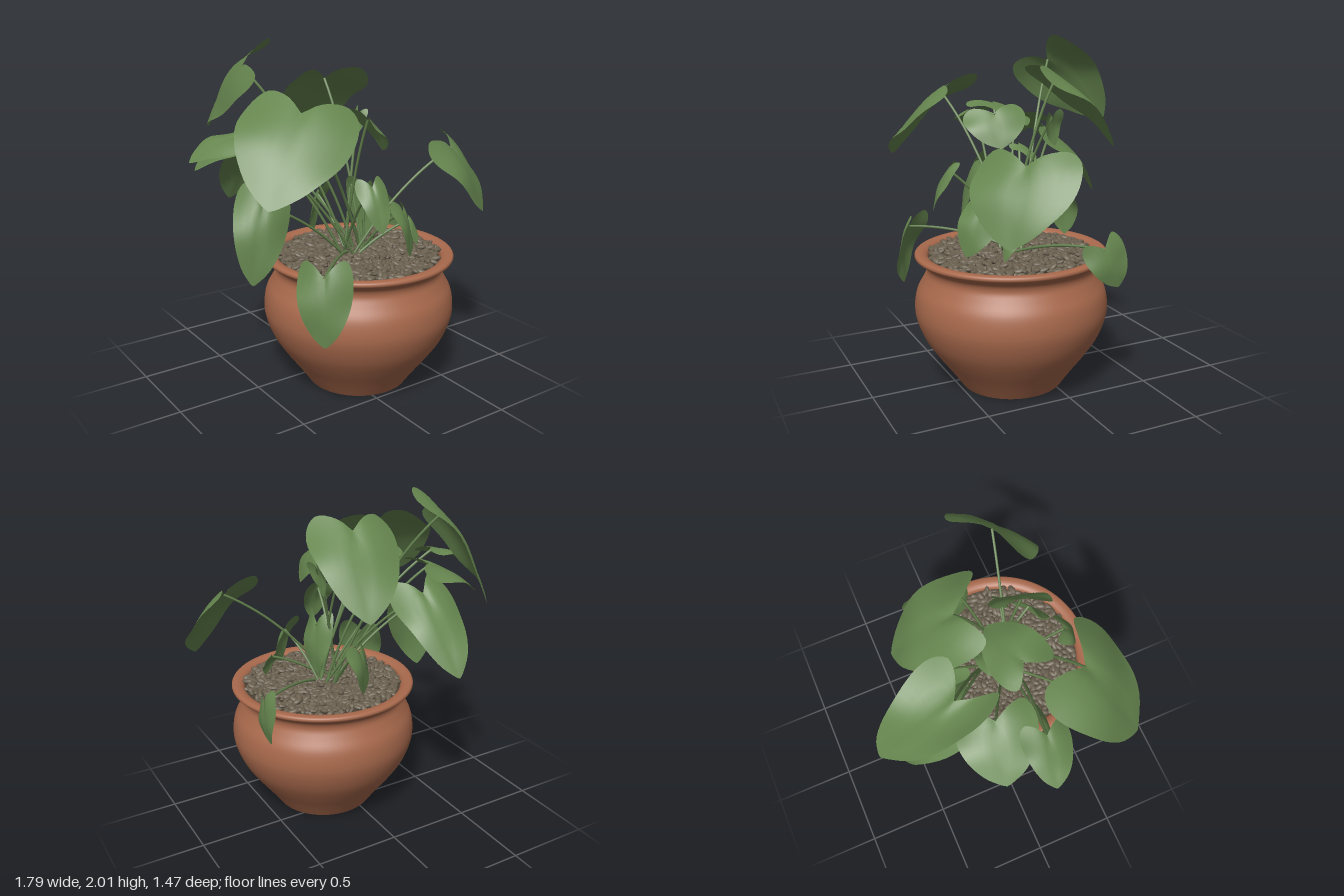
import * as THREE from 'three';
import { mergeGeometries } from 'three/addons/utils/BufferGeometryUtils.js';

const V = (x, y, z) => new THREE.Vector3(x, y, z);
const POT = V(0.1, 0, 0.175);
const CROWN = V(0.07, 0.76, 0.16);

// Each leaf: tip xyz, base xyz, roll about its rib, lobe spacing / length (0.48 if left out)
const LEAVES = [
  [-0.75, 1.27, 0.6, -0.31, 1.71, 0.28, -0.25, 0.76],
  [0.78, 1, 0.5, 0.57, 1.43, 0.26, 0.03, 0.95],
  [-0.39, 1.46, -0.73, -0.3, 1.9, -0.17, -0.82, 0.54],
  [0.16, 1.36, -0.47, 0.03, 1.81, 0.02, -0.05, 0.64],
  [-0.76, 1.32, -0.18, -0.36, 1.5, -0.1, 0, 0.86],
  [-0.33, 1, -0.62, -0.31, 1.44, -0.14, 0.18],
  [-0.89, 1.42, 0.04, -0.56, 1.52, 0.09, -0.2, 0.68],
  [0.19, 1.4, 0.27, 0.03, 1.61, 0.26, 0.18, 1.15],
  [0.05, 1.5, 0.05, -0.34, 1.58, 0.16, -0.2, 0.7],
  [-0.62, 0.73, 0.19, -0.47, 1.25, 0.08, -0.5],
  [-0.46, 0.5, 0.65, -0.39, 0.94, 0.55, 0.12, 0.56],
  [0.64, 0.67, -0.22, 0.59, 0.94, -0.11, 1.2, 0.72],
  [-0.05, 1.03, 0.59, -0.04, 1.3, 0.43, 0.15],
  [0.22, 0.82, 0.5, 0.21, 1.11, 0.36, -0.6, 0.66],
  [0.4, 0.82, 0.35, 0.37, 0.98, 0.25, 0],
  [0.04, 0.83, -0.21, 0.07, 1.12, -0.13, -0.3, 0.65],
  [0.15, 0.85, 0.15, 0.08, 1.23, 0.2, 0.28],
  [0.21, 1.4, -0.05, 0.27, 1.6, -0.02, -0.64],
  [0, 1.28, -0.04, -0.17, 1.36, 0.03, 0],
];

// Half of a heart: u across (1 = lobe end), v from lobes (0) to tip (1)
const NOTCH = 0.2;
const HEART = new THREE.SplineCurve([
  [0, NOTCH], [0.4, 0.06], [0.82, 0], [1.09, 0.12], [1.15, 0.35],
  [0.98, 0.6], [0.6, 0.83], [0.2, 0.96], [0, 1],
].map(p => new THREE.Vector2(...p)));

// Returns a function placing (u, v) on the arched leaf blade
function bladeSurface([tx, ty, tz, bx, by, bz, roll, spread = 0.48]) {
  const base = V(bx, by, bz), along = V(tx, ty, tz).sub(base);
  const length = along.length(), axis = along.clone().normalize();
  const side = V(along.z, 0, -along.x).normalize();
  const normal = axis.clone().cross(side);
  // Positive roll lifts the side vector toward the upper face
  side.applyAxisAngle(axis, roll);
  normal.applyAxisAngle(axis, roll);
  const half = length * spread / 2;
  return (u, v) => {
    const arch = 0.11 * (1 - u * u) * (1 - v) + 0.08 * Math.sin(Math.PI * v)
      - 0.03 * Math.exp(-u * u * 40) * (1 - v) + 0.02 * u * Math.sin(v * 9);
    return base.clone().addScaledVector(side, u * half).addScaledVector(along, v)
      .addScaledVector(normal, arch * length);
  };
}

function bladeGeometry(place) {
  const rows = 28, half = 5, pos = [], idx = [];
  for (let i = 0; i <= rows; i++) {
    const t = i / rows, edge = HEART.getPoint(t), rib = NOTCH + (1 - NOTCH) * t;
    for (let j = -half; j <= half; j++) {
      const k = Math.abs(j) / half;
      pos.push(...place(Math.sign(j) * k * edge.x, rib + (edge.y - rib) * k).toArray());
    }
  }
  const w = half * 2 + 1;
  for (let i = 0; i < rows; i++) for (let j = 0; j < w - 1; j++) {
    const a = i * w + j;
    idx.push(a, a + w, a + 1, a + 1, a + w, a + w + 1);
  }
  const g = new THREE.BufferGeometry();
  g.setAttribute('position', new THREE.Float32BufferAttribute(pos, 3));
  g.setIndex(idx);
  g.computeVertexNormals();
  return g;
}

// Stalk arching from the crown to the leaf notch
function stalkGeometry(end, i) {
  const a = i * 2.4;
  const start = CROWN.clone().add(V(Math.cos(a) * 0.06, 0, Math.sin(a) * 0.06));
  const bend = start.clone().lerp(end, 0.45);
  bend.y = Math.max(start.y + (end.y - start.y) * 0.7, 0.9);
  return new THREE.TubeGeometry(new THREE.QuadraticBezierCurve3(start, bend, end), 16, 0.008, 6);
}

function seeded(seed) {
  return () => (seed = (seed * 16807) % 2147483647) / 2147483647;
}

// Elongated stones scattered in a sunflower spiral
function pebbleGeometry() {
  const rnd = seeded(41), parts = [], count = 750;
  const unit = new THREE.SphereGeometry(1, 8, 6);
  const m = new THREE.Matrix4(), q = new THREE.Quaternion();
  for (let i = 0; i < count; i++) {
    const r = 0.465 * Math.sqrt((i + 0.5) / count), a = i * 2.39996;
    q.setFromEuler(new THREE.Euler((rnd() - 0.5) * 0.6, rnd() * 6.28, (rnd() - 0.5) * 0.7));
    const s = 0.85 + rnd() * 0.5;
    m.compose(V(Math.cos(a) * r, 0.772 + rnd() * 0.02, Math.sin(a) * r), q,
      V(0.03 * s, 0.012 * s, 0.016 * s));
    parts.push(unit.clone().applyMatrix4(m));
  }
  return mergeGeometries(parts);
}

export function createModel() {
  const mat = (name, color, side = THREE.FrontSide) =>
    Object.assign(new THREE.MeshStandardMaterial({ color, side }), { name });
  const terracotta = mat('terracotta', 0xa8694c);
  const leafGreen = mat('leaf green', 0x66864f, THREE.DoubleSide);
  const stalkGreen = mat('stalk green', 0x62804c);
  const stone = mat('stone', 0x6a604f);
  const earth = mat('earth', 0x4a4236);

  const model = new THREE.Group();
  model.name = 'pottedPlant';
  const add = (parent, name, geometry, material) => {
    const mesh = new THREE.Mesh(geometry, material);
    mesh.name = name;
    parent.add(mesh);
  };

  // Pot: round belly, pinched neck, flared lip
  const pot = new THREE.Group();
  pot.name = 'pot';
  pot.position.copy(POT);
  model.add(pot);
  const wall = new THREE.SplineCurve([
    [0.3, 0], [0.37, 0.1], [0.445, 0.2], [0.51, 0.3], [0.55, 0.4], [0.561, 0.48], [0.547, 0.57],
    [0.51, 0.64], [0.487, 0.69], [0.495, 0.73], [0.53, 0.757], [0.553, 0.775], [0.552, 0.793],
    [0.535, 0.8], [0.505, 0.797], [0.48, 0.78], [0.47, 0.74],
  ].map(p => new THREE.Vector2(...p)));
  add(pot, 'potWall', new THREE.LatheGeometry(wall.getPoints(64), 72), terracotta);
  add(pot, 'potBase', new THREE.CircleGeometry(0.3, 72).rotateX(Math.PI / 2), terracotta);
  add(pot, 'soil', new THREE.CircleGeometry(0.48, 48).rotateX(-Math.PI / 2).translate(0, 0.765, 0), earth);
  add(pot, 'pebbles', pebbleGeometry(), stone);

  // Foliage: one stalk and one heart-shaped blade each
  const foliage = new THREE.Group();
  foliage.name = 'foliage';
  model.add(foliage);
  LEAVES.forEach((leaf, i) => {
    const place = bladeSurface(leaf);
    add(foliage, 'leafBlade' + (i + 1), bladeGeometry(place), leafGreen);
    add(foliage, 'leafStalk' + (i + 1), stalkGeometry(place(0, NOTCH + 0.01), i), stalkGreen);
  });
  return model;
}
